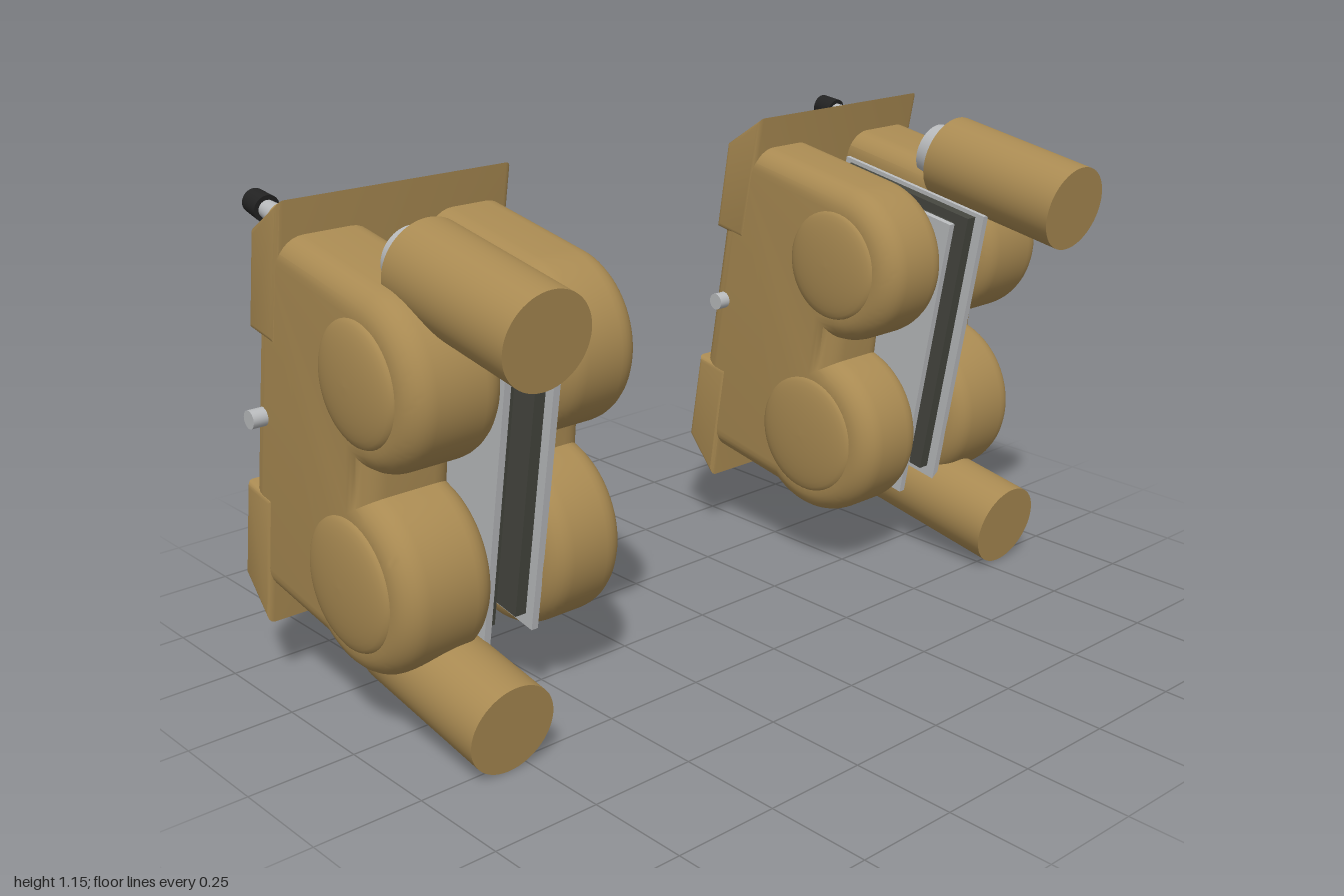
import * as THREE from 'three';
import { toCreasedNormals } from 'three/addons/utils/BufferGeometryUtils.js';

const paint = (name, color) => {
  const m = new THREE.MeshStandardMaterial({ color });
  m.name = name;
  return m;
};

// Mirrors a geometry across z = 0 and restores its face winding
function mirrorZ(source) {
  const g = source.index ? source.toNonIndexed() : source;
  g.scale(1, 1, -1);
  for (const a of Object.values(g.attributes)) {
    const n = a.itemSize;
    for (let i = 0; i < a.count; i += 3) {
      for (let k = 0; k < n; k++) {
        const p = (i + 1) * n + k, q = (i + 2) * n + k;
        [a.array[p], a.array[q]] = [a.array[q], a.array[p]];
      }
    }
  }
  return g;
}

// Extrusion from z = z0 to z1 with rounded edges kept inside the outline
function slab(shape, z0, z1, bevel, segments) {
  const g = new THREE.ExtrudeGeometry(shape, {
    depth: z1 - z0 - 2 * bevel, bevelThickness: bevel, bevelSize: bevel,
    bevelOffset: -bevel, bevelSegments: segments, curveSegments: 28,
  });
  g.translate(0, 0, z0 + bevel);
  return toCreasedNormals(g, 0.6);
}

// Cylinder running along x from x0 to x1
function rod(r0, r1, x0, x1, y, z, sides = 40) {
  return new THREE.CylinderGeometry(r1, r0, x1 - x0, sides)
    .rotateZ(-Math.PI / 2).translate((x0 + x1) / 2, y, z);
}

function box(x0, x1, y0, y1, z0, z1) {
  return new THREE.BoxGeometry(x1 - x0, y1 - y0, z1 - z0)
    .translate((x0 + x1) / 2, (y0 + y1) / 2, (z0 + z1) / 2);
}

// Low domed piston cover facing +z
function dome(r, h, x, y, z) {
  const pts = [];
  for (let i = 0; i <= 8; i++) {
    const t = i / 8 * Math.PI / 2;
    pts.push(new THREE.Vector2(i === 8 ? 0 : r * Math.cos(t), h * Math.sin(t)));
  }
  return new THREE.LatheGeometry(pts, 48).rotateX(Math.PI / 2).translate(x, y, z);
}

function bodyShape() {
  const s = new THREE.Shape();
  s.moveTo(-0.388, 0.37);
  s.lineTo(-0.388, -0.475);
  s.absarc(0.02, -0.286, 0.21, -2.02, 1.41, false);
  s.absarc(0.015, 0.175, 0.195, -1.39, Math.PI / 2, false);
  s.closePath();
  return s;
}

const polygon = (pts) => new THREE.Shape(pts.map(([x, y]) => new THREE.Vector2(x, y)));

export function createModel() {
  const bronze = paint('bronze', 0xa98a52);
  const steel = paint('steel', 0xb8babc);
  const friction = paint('friction grey', 0x45463f);
  const rubber = paint('black rubber', 0x222222);

  function caliper(side) {
    const group = new THREE.Group();
    group.name = side > 0 ? 'frontCaliper' : 'rearCaliper';
    const add = (name, geo, mat) => {
      const mesh = new THREE.Mesh(side > 0 ? geo : mirrorZ(geo), mat);
      mesh.name = name;
      group.add(mesh);
    };

    // Two body halves with piston covers
    const half = (depth) => slab(bodyShape(), 0, depth, 0.06, 7);
    add('outerBody', half(0.235).translate(0, 0, 0.73), bronze);
    add('innerBody', mirrorZ(half(0.21)).translate(0, 0, 0.595), bronze);
    for (const [x, y, r] of [[0.015, 0.175, 0.135], [0.02, -0.286, 0.15]]) {
      add('outerPistonCover', dome(r, 0.03, x, y, 0.963), bronze);
      add('innerPistonCover', mirrorZ(dome(r, 0.025, x, y, 0)).translate(0, 0, 0.387), bronze);
    }

    // Bridge plates above and below the open window
    add('upperBridge', slab(polygon([[-0.394, 0.13], [-0.29, 0.13], [-0.288, 0.452], [-0.394, 0.355]]),
      0.383, 0.968, 0.014, 3), bronze);
    add('lowerBridge', slab(polygon([[-0.394, -0.24], [-0.394, -0.475], [-0.288, -0.556], [-0.288, -0.24]]),
      0.383, 0.968, 0.014, 3), bronze);

    // Retaining pin across the window
    add('retainingPin', new THREE.CylinderGeometry(0.021, 0.021, 0.645, 24)
      .rotateX(Math.PI / 2).translate(-0.331, -0.053, 0.6775), steel);

    // Brake pads on their backing plates
    add('outerBackingPlate', box(-0.28, 0.19, -0.43, 0.31, 0.718, 0.735), steel);
    add('innerBackingPlate', box(-0.28, 0.19, -0.43, 0.31, 0.59, 0.607), steel);
    add('outerPad', box(-0.26, 0.165, -0.4, 0.3, 0.69, 0.72), friction);
    add('innerPad', box(-0.26, 0.165, -0.4, 0.3, 0.605, 0.635), friction);

    // Slide sleeves with stepped collars and dark sockets
    for (const y of [0.388, -0.493]) {
      add('sleeve', rod(0.105, 0.105, -0.005, 0.387, y, 0.8, 56), bronze);
      add('collarFlange', rod(0.085, 0.085, -0.018, -0.004, y, 0.8), steel);
      add('collar', rod(0.068, 0.075, -0.063, -0.017, y, 0.8), steel);
      add('socket', rod(0.042, 0.042, -0.065, -0.06, y, 0.8, 6), rubber);
    }

    // Bleed valve
    add('bleedBoss', rod(0.038, 0.045, -0.42, -0.36, 0.352, 0.875, 24), bronze);
    add('bleedStem', rod(0.02, 0.026, -0.485, -0.418, 0.352, 0.875, 24), steel);
    add('bleedCap', rod(0.028, 0.031, -0.537, -0.482, 0.352, 0.875, 24), rubber);

    group.rotation.z = -Math.PI / 18;
    group.position.y = 0.66;
    return group;
  }

  const model = new THREE.Group();
  model.name = 'brakeCalipers';
  model.add(caliper(1), caliper(-1));
  return model;
}
